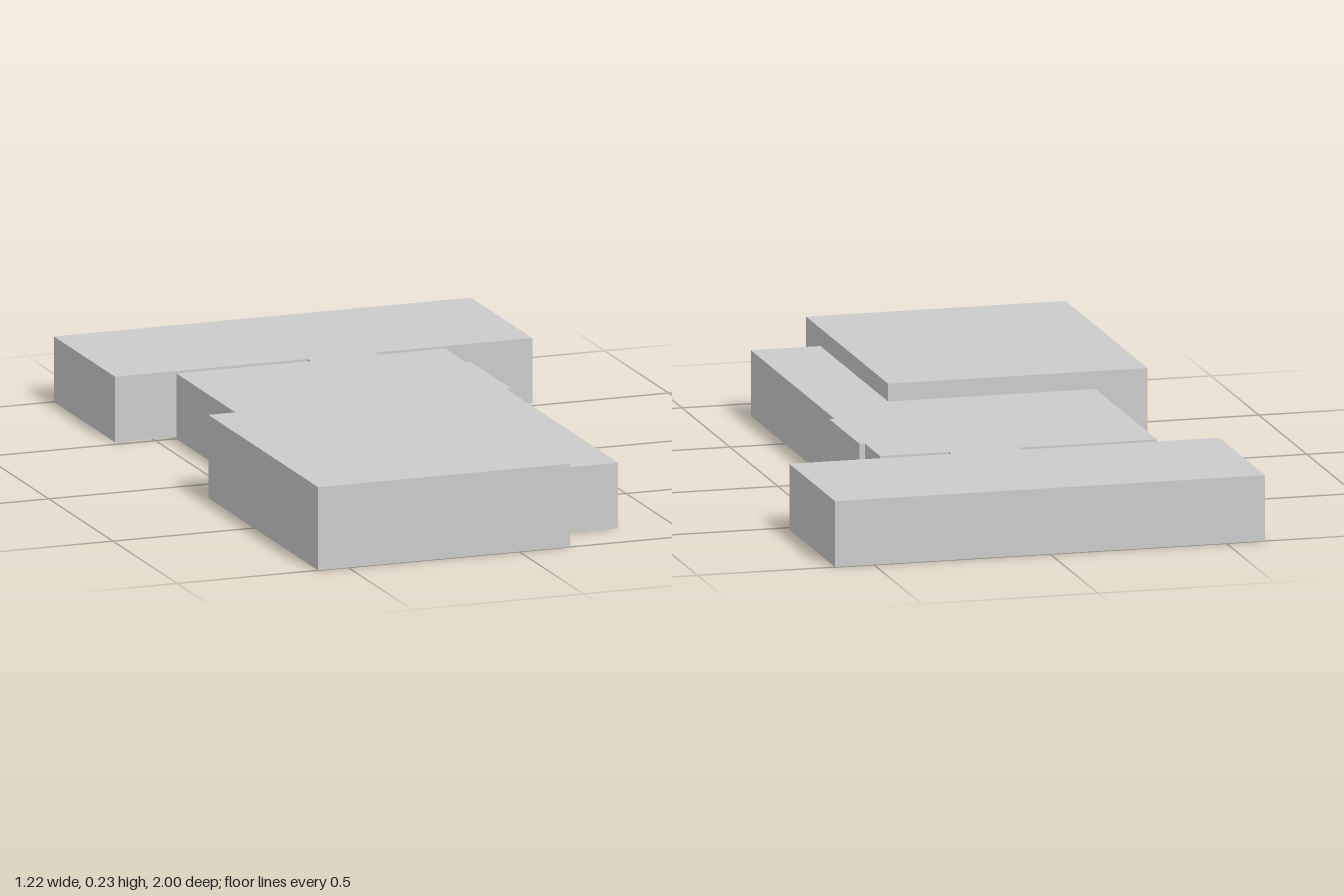
import * as THREE from 'three';

const LOW = 0.185;
const TALL = 0.235;

export function createModel() {
  const model = new THREE.Group();
  const material = new THREE.MeshStandardMaterial({ color: 0xcccccc, flatShading: true });

  // Raises a ground plan of [x, z] corners to the given height
  const addBlock = (name, plan, height) => {
    const shape = new THREE.Shape(plan.map(([x, z]) => new THREE.Vector2(x, -z)));
    const geometry = new THREE.ExtrudeGeometry(shape, { depth: height, bevelEnabled: false });
    geometry.rotateX(-Math.PI / 2);
    const mesh = new THREE.Mesh(geometry, material);
    mesh.name = name;
    model.add(mesh);
  };
  const rect = (x0, x1, z0, z1) => [[x0, z1], [x1, z1], [x1, z0], [x0, z0]];

  // Wide wing across the back
  addBlock('rearWing', rect(-0.61, 0.61, -1, -0.523), LOW);

  // Short link between the rear wing and the main hall
  addBlock('connectingNeck', rect(-0.048, 0.15, -0.523, -0.497), LOW);

  // L-shaped main hall wrapping around the tall block
  addBlock('mainHall', [
    [-0.44, 0.145], [0.148, 0.145], [0.148, 0.852],
    [0.345, 0.852], [0.345, -0.497], [-0.44, -0.497],
  ], LOW);

  // Shallow bay on the left side of the hall
  addBlock('sideBay', rect(0.345, 0.36, -0.337, -0.02), LOW);

  // Taller block at the front
  addBlock('frontBlock', rect(-0.588, 0.148, 0.145, 1), TALL);

  return model;
}
